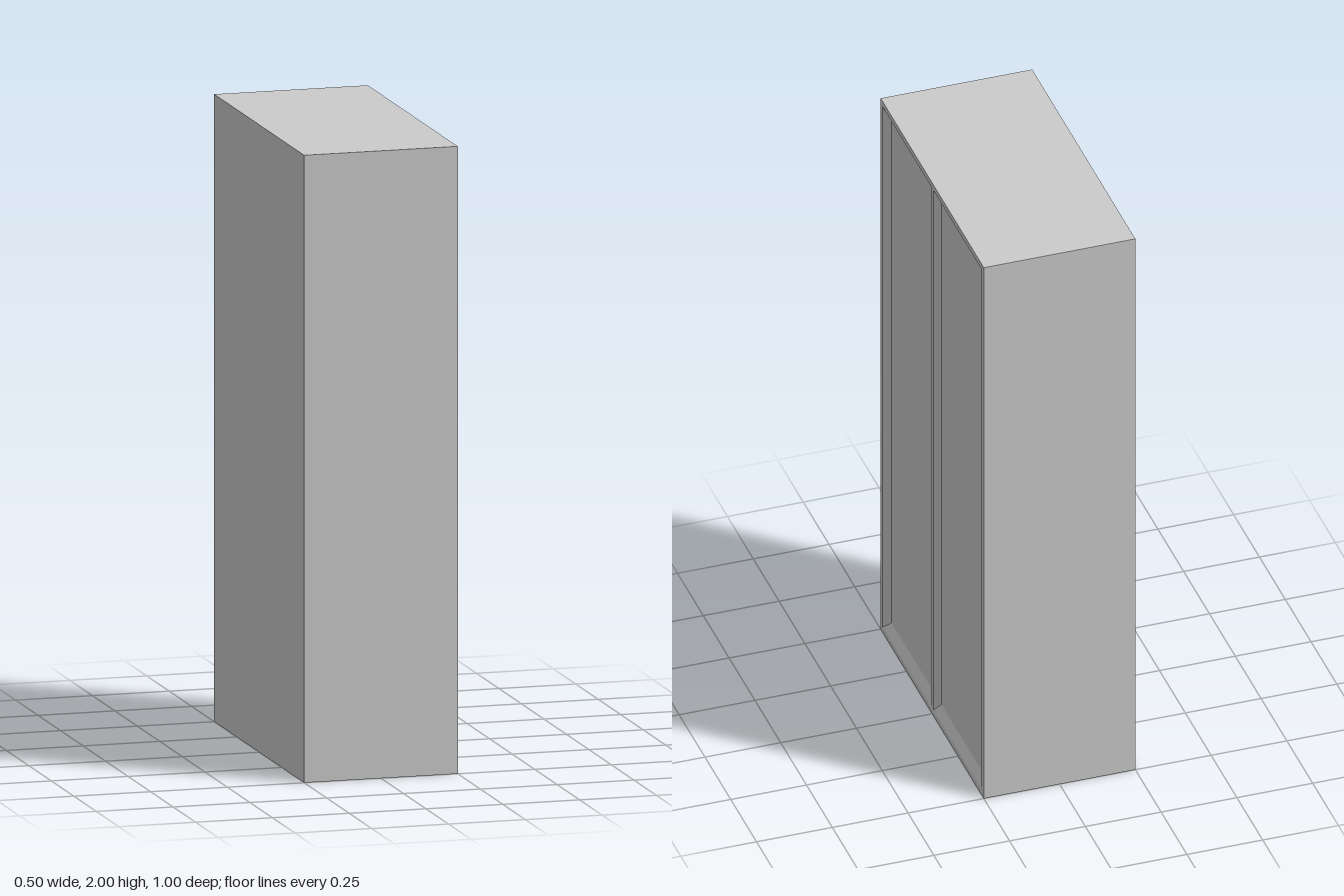
import * as THREE from 'three';

const W = 0.5, H = 2, D = 1, RECESS = 0.02;
const BOTTOM = [0.02, 0.05], TOP = [1.98, 1.955]; // [rim edge, panel edge]

// Doors laid out in the facade plane: u runs to the viewer's right, y is up
const doors = [
  { name: 'frontDoor', left: [-0.48, -0.452], right: [-0.013, -0.045] },
  { name: 'rearDoor', left: [0.01, 0.03], right: [0.474, 0.455] },
];

// Counter-clockwise corners of a door: k = 0 at the rim, k = 1 at the panel
const corners = (d, k) => [
  [d.left[k], BOTTOM[k]], [d.right[k], BOTTOM[k]],
  [d.right[k], TOP[k]], [d.left[k], TOP[k]],
];

// Four sloping borders and the sunken panel
function doorGeometry(d) {
  const outer = corners(d, 0).map(([u, y]) => [u, y, 0]);
  const inner = corners(d, 1).map(([u, y]) => [u, y, -RECESS]);
  const positions = [];
  const quad = (a, b, c, e) => positions.push(...a, ...b, ...c, ...a, ...c, ...e);
  for (let i = 0; i < 4; i++) {
    const j = (i + 1) % 4;
    quad(outer[i], outer[j], inner[j], inner[i]);
  }
  quad(...inner);
  const g = new THREE.BufferGeometry();
  g.setAttribute('position', new THREE.Float32BufferAttribute(positions, 3));
  g.computeVertexNormals();
  return g;
}

export function createModel() {
  const group = new THREE.Group();
  group.name = 'wardrobe';
  const material = new THREE.MeshStandardMaterial({ color: 0xcccccc, flatShading: true });
  const add = (parent, name, geometry) => {
    const mesh = new THREE.Mesh(geometry, material);
    mesh.name = name;
    parent.add(mesh);
  };

  // Carcass: a box without its +x face, which the facade closes
  const box = new THREE.BoxGeometry(W, H, D);
  box.setIndex(Array.from(box.index.array).slice(6));
  box.clearGroups();
  box.translate(0, H / 2, 0);
  add(group, 'carcass', box);

  // Facade, turned to face +x
  const facade = new THREE.Group();
  facade.name = 'facade';
  facade.rotation.y = Math.PI / 2;
  facade.position.x = W / 2;
  group.add(facade);

  // Flat rim and centre post around the two door openings
  const toPoints = (list) => list.map(([u, y]) => new THREE.Vector2(u, y));
  const rim = new THREE.Shape(toPoints([[-D / 2, 0], [D / 2, 0], [D / 2, H], [-D / 2, H]]));
  for (const d of doors) rim.holes.push(new THREE.Path(toPoints(corners(d, 0))));
  add(facade, 'rim', new THREE.ShapeGeometry(rim));

  for (const d of doors) add(facade, d.name, doorGeometry(d));
  return group;
}
